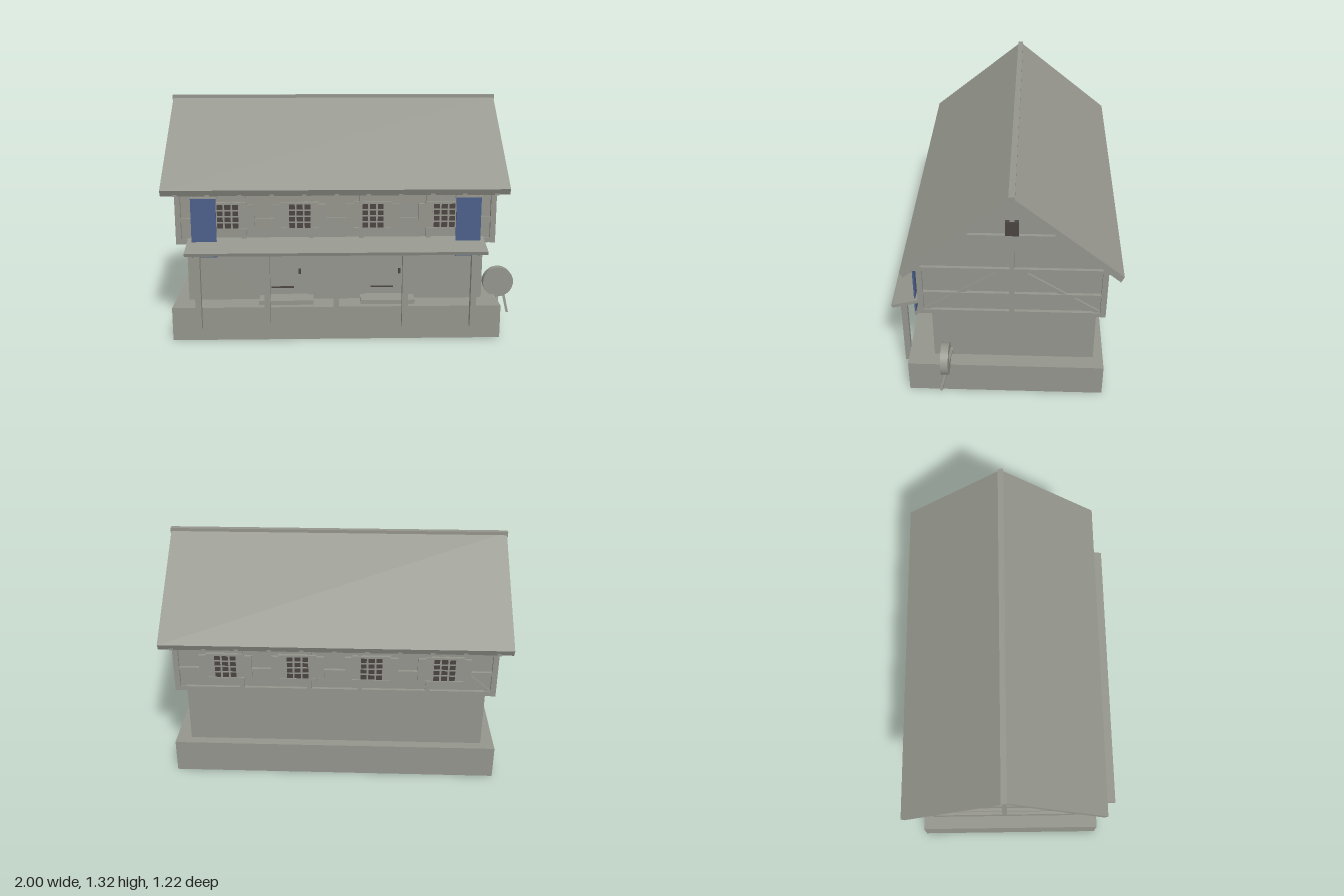
import * as THREE from 'three';

const CX = -0.037, CZ = -0.043; // centre lines of the house

export function createModel() {
  const house = new THREE.Group();
  house.name = 'house';
  const mat = (name, color, side = THREE.FrontSide) => {
    const m = new THREE.MeshStandardMaterial({ color, side });
    m.name = name;
    return m;
  };
  const stone = mat('stone grey', 0x94958c);
  const dark = mat('dark opening', 0x4a4341);
  const blue = mat('banner blue', 0x4c5f8a);

  const add = (name, geo, material = stone, parent = house) => {
    const m = new THREE.Mesh(geo, material);
    m.name = name;
    parent.add(m);
    return m;
  };
  // box given by its limits on each axis
  const box = (name, x0, x1, y0, y1, z0, z1, material = stone, parent = house) => {
    const m = add(name, new THREE.BoxGeometry(x1 - x0, y1 - y0, z1 - z0), material, parent);
    m.position.set((x0 + x1) / 2, (y0 + y1) / 2, (z0 + z1) / 2);
    return m;
  };
  // straight beam between two points
  const beam = (name, a, b, w, d, parent = house) => {
    const p = new THREE.Vector3(...a), q = new THREE.Vector3(...b);
    const m = add(name, new THREE.BoxGeometry(w, p.distanceTo(q), d), stone, parent);
    m.position.copy(p).add(q).multiplyScalar(0.5);
    m.quaternion.setFromUnitVectors(new THREE.Vector3(0, 1, 0), q.sub(p).normalize());
    return m;
  };
  // prism with a z-y outline, running from x0 to x1
  const prism = (name, pts, x0, x1) => {
    const shape = new THREE.Shape(pts.map(([z, y]) => new THREE.Vector2(-z, y)));
    const geo = new THREE.ExtrudeGeometry(shape, { depth: x1 - x0, bevelEnabled: false });
    geo.rotateY(Math.PI / 2).translate(x0, 0, 0);
    return add(name, geo);
  };

  // plinth and ground floor
  box('plinth', -0.955, 0.885, 0, 0.19, -0.55, 0.53);
  box('groundFloor', -0.88, 0.8, 0.19, 0.54, -0.495, 0.36);

  // front wall with two door openings
  const doors = [-0.32, 0.252];
  const wall = new THREE.Shape([[-0.88, 0.19], [0.8, 0.19], [0.8, 0.54], [-0.88, 0.54]].map(p => new THREE.Vector2(...p)));
  for (const x of doors) {
    wall.holes.push(new THREE.Path([[x - 0.122, 0.2], [x - 0.122, 0.51], [x + 0.122, 0.51], [x + 0.122, 0.2]].map(p => new THREE.Vector2(...p))));
  }
  add('frontWall', new THREE.ExtrudeGeometry(wall, { depth: 0.03, bevelEnabled: false })).position.z = 0.36;
  for (const x of doors) {
    box('door', x - 0.122, x + 0.122, 0.2, 0.51, 0.355, 0.372);
    for (const y of [0.256, 0.46]) box('doorHinge', x - 0.09, x + 0.04, y - 0.004, y + 0.004, 0.371, 0.378, dark);
    box('doorHandle', x + 0.068, x + 0.08, 0.335, 0.365, 0.371, 0.379, dark);
    box('doorStep', x - 0.153, x + 0.153, 0.19, 0.214, 0.37, 0.492);
  }

  // porch
  for (let i = -2; i <= 2; i++) {
    const x = -0.04 + i * 0.381;
    box('porchPost', x - 0.016, x + 0.016, 0.08, 0.528, 0.536, 0.57);
  }
  prism('porchRoof', [[0.44, 0.552], [0.606, 0.509], [0.612, 0.527], [0.44, 0.571]], -0.863, 0.787);

  // upper floor core and its corner posts
  const X0 = -0.93, X1 = 0.855, Z0 = -0.54, Z1 = 0.453, Y0 = 0.535, Y1 = 0.845;
  box('upperFloor', X0 + 0.018, X1 - 0.018, Y0, Y1, Z0 + 0.018, Z1 - 0.018);
  for (const x of [X0, X1 - 0.03]) for (const z of [Z0, Z1 - 0.03]) {
    box('cornerPost', x, x + 0.03, Y0, Y1, z, z + 0.03);
  }

  // framing on both gable ends
  for (const s of [-1, 1]) {
    const xe = s > 0 ? X1 : X0;
    const a = Math.min(xe, xe - s * 0.03), b = Math.max(xe, xe - s * 0.03);
    const mid = (a + b) / 2;
    for (const [y0, y1] of [[0.537, 0.562], [0.664, 0.682], [0.823, 0.844]]) {
      box('sideRail', a, b, y0, y1, Z0 + 0.02, Z1 - 0.02);
    }
    box('sidePost', a, b, 0.537, 0.844, CZ - 0.014, CZ + 0.014);
    for (const t of [-1, 1]) {
      beam('sideBrace', [mid - s * 0.003, 0.555, CZ + t * 0.465], [mid - s * 0.003, 0.83, CZ + t * 0.035], 0.024, 0.022);
    }
    // gable triangle, king post, collar and vent
    const ga = s > 0 ? xe - 0.045 : xe + 0.018, gb = ga + 0.027;
    prism('gable', [[0.425, 0.84], [CZ, 1.285], [-0.511, 0.84]], ga, gb);
    box('kingPost', a, b, 0.84, 1.28, CZ - 0.012, CZ + 0.012);
    box('collarBeam', a, b, 1.035, 1.055, -0.311, 0.225);
    box('gableVent', a - 0.004, b + 0.004, 1.055, 1.138, CZ - 0.035, CZ + 0.035, dark);
  }

  // long sides: built facing +z, the back one turned around
  const zf = (Z1 - Z0) / 2, half = (X1 - X0) / 2;
  for (const turn of [0, Math.PI]) {
    const side = new THREE.Group();
    side.name = turn ? 'backFraming' : 'frontFraming';
    side.position.set(CX, 0, (Z0 + Z1) / 2);
    side.rotation.y = turn;
    house.add(side);
    for (const [y0, y1] of [[0.537, 0.562], [0.664, 0.682], [0.823, 0.844]]) {
      box('longRail', -half + 0.02, half - 0.02, y0, y1, zf - 0.03, zf, stone, side);
    }
    for (const x of [-0.515, -0.14, 0.215 - 0.075, 0.515]) {
      box('wallPost', x - 0.013, x + 0.013, 0.537, 0.844, zf - 0.03, zf, stone, side);
    }
    for (const s of [-1, 1]) {
      beam('longBrace', [s * 0.86, 0.555, zf - 0.017], [s * 0.52, 0.83, zf - 0.017], 0.022, 0.024, side);
    }
    // windows with bars and open shutters
    for (const x of [-0.602, -0.203, 0.203, 0.602]) {
      box('windowPane', x - 0.064, x + 0.064, 0.628, 0.762, zf - 0.006, zf + 0.002, dark, side);
      for (const dx of [-0.064, -0.022, 0.022, 0.064]) {
        box('windowBar', x + dx - 0.005, x + dx + 0.005, 0.625, 0.765, zf, zf + 0.005, stone, side);
      }
      for (const y of [0.661, 0.695, 0.729]) {
        box('windowBar', x - 0.064, x + 0.064, y - 0.004, y + 0.004, zf, zf + 0.004, stone, side);
      }
      for (const y of [0.622, 0.768]) {
        box('windowLedge', x - 0.105, x + 0.105, y - 0.006, y + 0.006, zf - 0.01, zf + 0.008, stone, side);
      }
      for (const s of [-1, 1]) {
        const c = x + s * 0.106;
        box('shutter', c - 0.04, c + 0.04, 0.63, 0.762, zf - 0.012, zf + 0.004, stone, side);
      }
    }
    // rafter tails under the eaves
    for (let i = 0; i <= 10; i++) {
      const x = -0.88 + i * 0.176;
      box('rafterTail', x - 0.012, x + 0.012, 0.82, 0.838, zf - 0.03, zf + 0.06, stone, side);
    }
  }

  // roof slopes and ridge cap
  for (const s of [-1, 1]) {
    const pts = [[CZ, 1.318], [CZ, 1.283], [CZ + s * 0.552, 0.822], [CZ + s * 0.568, 0.856]];
    prism('roofSlope', pts, -0.995, 0.915);
  }
  box('ridgeCap', -1, 0.92, 1.296, 1.323, CZ - 0.016, CZ + 0.016);

  // hanging banners
  for (const x of [-0.769, 0.695]) {
    box('banner', x - 0.069, x + 0.069, 0.47, 0.805, 0.481, 0.489, blue);
    box('bannerRod', x - 0.078, x + 0.078, 0.803, 0.811, 0.48, 0.49);
    for (const s of [-1, 1]) box('bannerBracket', x + s * 0.06 - 0.004, x + s * 0.06 + 0.004, 0.803, 0.811, 0.44, 0.482);
  }

  // round target on two leaning legs
  const disc = add('targetDisc', new THREE.CylinderGeometry(0.088, 0.088, 0.042, 32));
  disc.rotation.x = Math.PI / 2;
  disc.position.set(0.91, 0.263, 0.316);
  beam('targetLeg', [0.91, 0.338, 0.279], [0.908, 0.08, 0.341], 0.014, 0.014);
  beam('targetLeg', [0.918, 0.338, 0.279], [0.968, 0.08, 0.341], 0.014, 0.014);

  return house;
}
